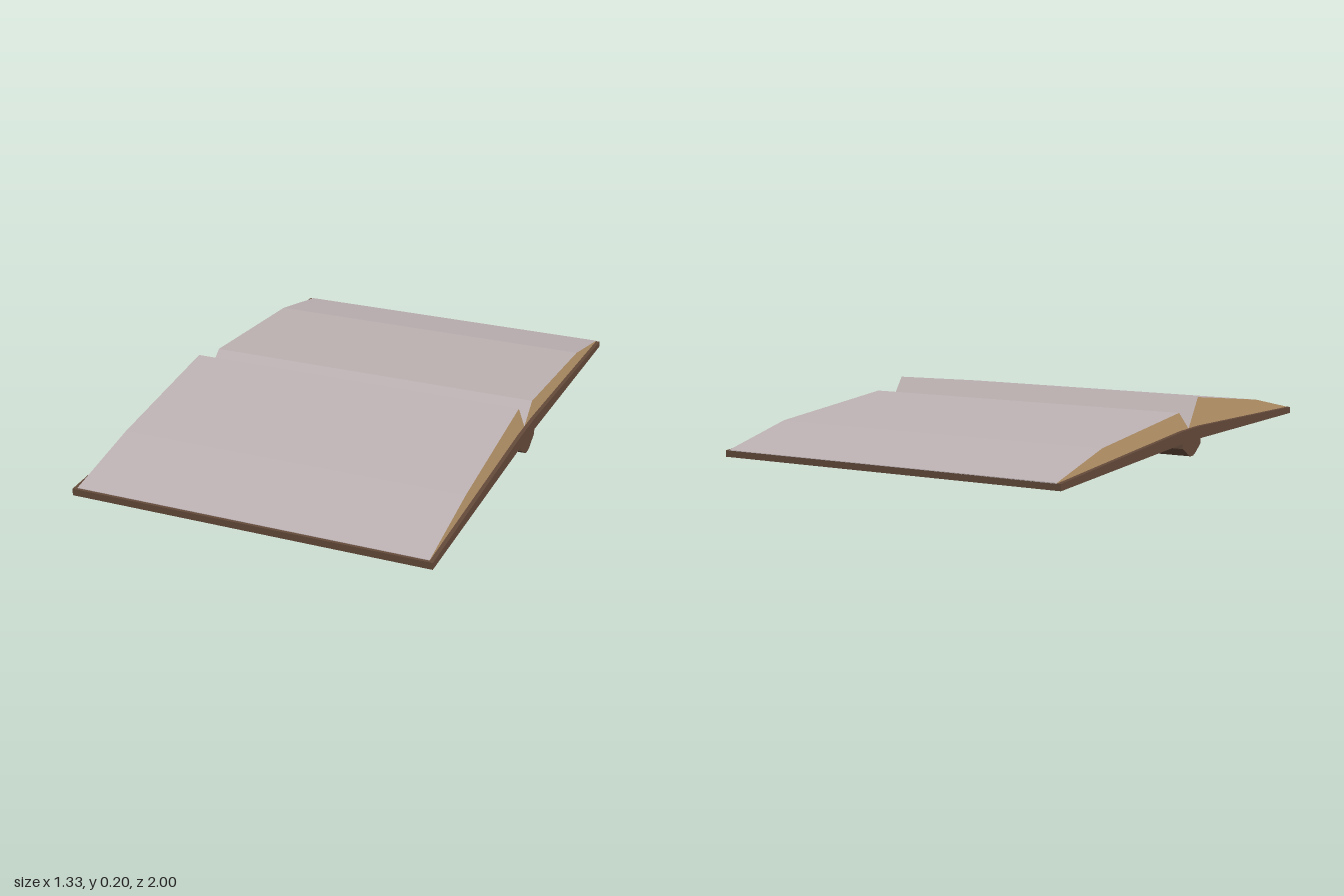
import * as THREE from 'three';

const material = (name, color) => {
  const m = new THREE.MeshStandardMaterial({ color });
  m.name = name;
  return m;
};

// Extrudes a [z, y] outline across x, centred on x = 0
function slab(name, outline, width, materials) {
  const shape = new THREE.Shape(outline.map(([z, y]) => new THREE.Vector2(z, y)));
  const geometry = new THREE.ExtrudeGeometry(shape, { depth: width, bevelEnabled: false });
  geometry.translate(0, 0, -width / 2);
  geometry.rotateY(-Math.PI / 2);
  const mesh = new THREE.Mesh(geometry, materials);
  mesh.name = name;
  return mesh;
}

export function createModel() {
  const paper = material('paper', 0xbdb2b3);
  const pageEdge = material('pageEdge', 0xc29d70);
  const leather = material('leather', 0x644a3a);

  const book = new THREE.Group();
  book.name = 'openBook';

  // Cover boards, sloping gently away from the spine on both sides
  book.add(slab('cover', [
    [1, 0.035], [1, 0.06], [0.08, 0.1], [-0.08, 0.1],
    [-1, 0.058], [-1, 0.035], [-0.08, 0.055], [0.08, 0.055],
  ], 1.325, leather));

  // Rounded spine below the boards
  book.add(slab('spine', [
    [0.078, 0.06], [0.078, 0.037], [0.025, 0.005], [0.01, 0],
    [-0.01, 0], [-0.025, 0.005], [-0.082, 0.037], [-0.082, 0.06],
  ], 1.325, leather));

  // Page blocks: tan cut edges on the ends, paper on the top
  const pageMaterials = [pageEdge, paper];
  book.add(slab('frontPages', [
    [0, 0.099], [0.08, 0.205], [0.65, 0.13], [0.99, 0.062], [0.99, 0.059], [0.08, 0.098],
  ], 1.296, pageMaterials));
  book.add(slab('backPages', [
    [0, 0.099], [-0.085, 0.167], [-0.69, 0.125], [-1, 0.06], [-1, 0.057], [-0.08, 0.098],
  ], 1.296, pageMaterials));

  return book;
}
